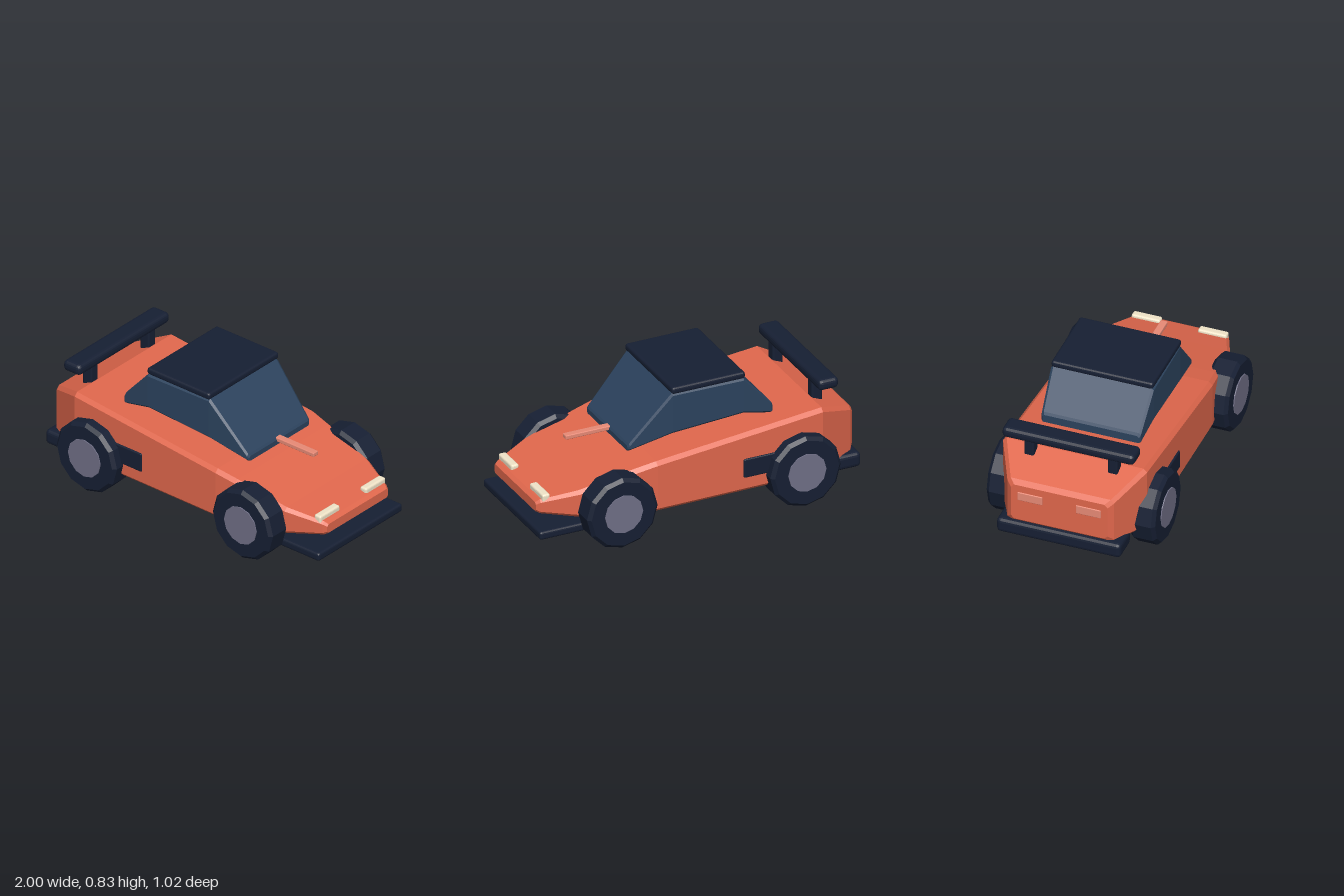
import * as THREE from 'three';
import { RoundedBoxGeometry } from 'three/addons/geometries/RoundedBoxGeometry.js';

const paint = (color) => new THREE.MeshStandardMaterial({ color, flatShading: true });

// Closed hull through bevelled rectangles [x, halfWidth, bottom, top, bevel]
function loft(sections) {
  const pos = [], index = [], n = 8;
  for (const [x, w, lo, hi, b] of sections) {
    const ring = [
      [-w + b, lo], [-w, lo + b], [-w, hi - b], [-w + b, hi],
      [w - b, hi], [w, hi - b], [w, lo + b], [w - b, lo],
    ];
    for (const [z, y] of ring) pos.push(x, y, z);
  }
  const last = (sections.length - 1) * n;
  for (let i = 0; i < last; i += n) {
    for (let j = 0; j < n; j++) {
      const k = (j + 1) % n;
      index.push(i + j, i + k, i + n + k, i + j, i + n + k, i + n + j);
    }
  }
  for (let j = 1; j < n - 1; j++) {
    index.push(last, last + j, last + j + 1, 0, j + 1, j);
  }
  const g = new THREE.BufferGeometry();
  g.setAttribute('position', new THREE.Float32BufferAttribute(pos, 3));
  g.setIndex(index);
  g.computeVertexNormals();
  return g;
}

export function createModel() {
  const car = new THREE.Group();
  car.name = 'car';
  const red = paint(0xe0674c), dark = paint(0x161f33), glass = paint(0x2c435e);
  const grey = paint(0x706f86), cream = paint(0xf0e4c8), pink = paint(0xe88a76);

  const add = (name, geometry, material, parent = car) => {
    const mesh = new THREE.Mesh(geometry, material);
    mesh.name = name;
    parent.add(mesh);
    return mesh;
  };
  // Rounded box given by its limits on each axis
  const box = (name, [x0, x1], [y0, y1], [z0, z1], r, material) => {
    const m = add(name, new RoundedBoxGeometry(x1 - x0, y1 - y0, z1 - z0, 2, r), material);
    m.position.set((x0 + x1) / 2, (y0 + y1) / 2, (z0 + z1) / 2);
    return m;
  };

  // Wedge body, tail to nose
  add('body', loft([
    [-0.98, 0.29, 0.21, 0.445, 0.02],
    [-0.955, 0.32, 0.18, 0.47, 0.02],
    [-0.73, 0.432, 0.152, 0.562, 0.022],
    [0.3, 0.432, 0.145, 0.458, 0.022],
    [0.43, 0.415, 0.146, 0.43, 0.022],
    [0.75, 0.365, 0.18, 0.348, 0.02],
    [0.955, 0.28, 0.212, 0.298, 0.015],
    [0.978, 0.265, 0.226, 0.282, 0.012],
  ]), red);

  // Cabin and roof
  add('cabin', loft([
    [-0.485, 0.29, 0.53, 0.585, 0.012],
    [-0.475, 0.297, 0.53, 0.6, 0.012],
    [-0.3, 0.308, 0.572, 0.795, 0.014],
    [0.14, 0.3, 0.54, 0.795, 0.014],
    [0.395, 0.27, 0.475, 0.518, 0.012],
    [0.404, 0.26, 0.474, 0.505, 0.01],
  ]), glass);
  box('roof', [-0.31, 0.147], [0.79, 0.832], [-0.305, 0.305], 0.015, dark);

  // Bar over the hood
  box('hoodBar', [0.2, 0.672], [0.493, 0.519], [-0.021, 0.021], 0.005, pink);

  // Bumpers
  box('frontSplitter', [0.7, 1], [0.093, 0.144], [-0.365, 0.365], 0.015, dark);
  box('rearBumper', [-1, -0.825], [0.105, 0.197], [-0.372, 0.372], 0.025, dark);

  // Rear wing
  box('wing', [-0.85, -0.725], [0.65, 0.716], [-0.396, 0.396], 0.025, dark);

  for (const s of [-1, 1]) {
    const span = (a, b) => (s > 0 ? [a, b] : [-b, -a]);
    box('wingStrut', [-0.8, -0.735], [0.52, 0.67], span(0.22, 0.28), 0.01, dark);
    box('sideVent', [-0.46, -0.235], [0.24, 0.357], span(0.38, 0.442), 0.008, dark);
    box('tailLight', [-0.985, -0.95], [0.345, 0.4], span(0.1, 0.25), 0.005, pink);
    box('headlight', [0.897, 0.945], [0.268, 0.33], span(0.113, 0.285), 0.012, cream);

    // Wheels: bevelled twelve-sided tyres with flush hubs
    for (const [name, x] of [['frontWheel', 0.547], ['rearWheel', -0.595]]) {
      const wheel = new THREE.Group();
      wheel.name = name;
      wheel.position.set(x, 0.225, s * 0.428);
      const profile = [[0, -0.077], [0.2, -0.077], [0.22, -0.057], [0.22, 0.057], [0.2, 0.077], [0, 0.077]]
        .map(([r, y]) => new THREE.Vector2(r, y));
      add('tyre', new THREE.LatheGeometry(profile, 12).rotateX(Math.PI / 2), dark, wheel);
      const hub = add('hub', new THREE.CylinderGeometry(0.118, 0.118, 0.03, 12).rotateX(Math.PI / 2), grey, wheel);
      hub.position.z = s * 0.068;
      car.add(wheel);
    }
  }
  return car;
}
